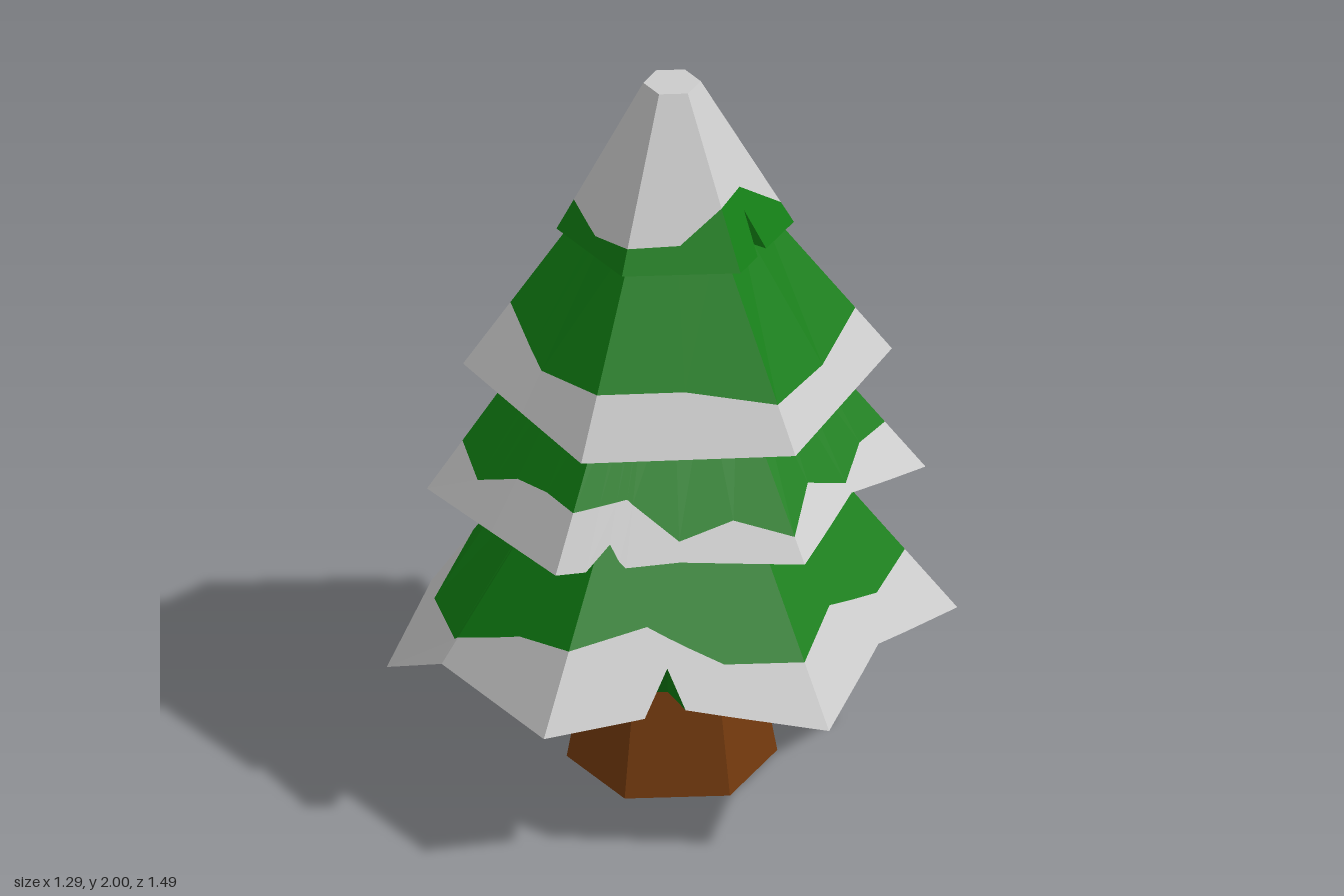
import * as THREE from 'three';

const mat = (color) => new THREE.MeshStandardMaterial({ color, flatShading: true, side: THREE.DoubleSide });
const GREEN = mat(0x107d12), SNOW = mat(0xcccccc), BARK = mat(0x743a0e);
const NOTCH_WIDTH = 0.08, DROOP_AT = 4, DROOP_WIDTH = 0.35;

// Each tier is a six-sided skirt; side position u runs 0..6 from the front corner towards +x.
// rim and top are [radius, height]; tilt is the rim's slope along x and z, shift its offset in x and z;
// droop lowers the back corner on the -x side; arches lift the middle of each side's rim;
// notches are cuts in the rim as [u, depth]; snow holds evenly spaced heights of the
// zigzag snow line. Depths and heights are fractions of the skirt.
const TIERS = [
  {
    name: 'bottomTier', rim: [0.745, 0.41], top: [0.33, 0.95], droop: 0.13,
    arches: [0.12, 0.08, 0.08, 0, 0, 0.1], notches: [[1.42, 0.2], [1.83, 0.35], [5.43, 0.27]],
    snow: [0.28, 0.38, 0.28, 0.33, 0.33, 0.24, 0.28, 0.07, 0.28, 0.22, 0.24, 0.31, 0.3, 0.12, 0.28, 0.35, 0.44, 0.28],
  },
  {
    name: 'lowerMiddleTier', rim: [0.65, 0.83], top: [0.33, 1.27], tilt: [0, 0.075], shift: [0, 0.02], turn: -0.04,
    arches: [0.14, 0, 0.05, 0, 0, 0.04], notches: [[2.2, 0.22], [5.2, 0.15]],
    snow: [0.15, 0.33, 0.2, 0.32, 0.32, 0.18, 0.4, 0.28, 0.48, 0.28, 0.4, 0.22, 0.38, 0.26, 0.24, 0.36, 0.3, 0.18, 0.3, 0.33, 0.32, 0.38, 0.15, 0.25],
  },
  {
    name: 'upperMiddleTier', rim: [0.56, 1.17], top: [0.22, 1.65], tilt: [0.05, -0.07], shift: [0.025, -0.012],
    arches: [0, 0.13], notches: [[2.06, 0.35]],
    snow: [0.23, 0.2, 0.27, 0.38, 0.2, 0.3, 0.36, 0.38, 0.38, 0.22, 0.3, 0.3],
  },
  {
    name: 'topTier', rim: [0.31, 1.57], top: [0.075, 2], shift: [0.01, 0], notches: [[0.4, 0.26]], snowAbove: true,
    snow: [0.36, 0.38, 0.14, 0.14, 0.26, 0.25, 0.35, 0.15, 0.2, 0.1, 0.15, 0.16],
  },
];

const hexRing = (r, y, turn = 0) => Array.from({ length: 6 }, (_, i) => {
  const a = i * Math.PI / 3 + turn;
  return new THREE.Vector3(r * Math.sin(a), y, r * Math.cos(a));
});

// Point on a six-sided ring, straight between its corners
function ringAt(corners, u) {
  const i = Math.floor(u);
  return corners[i % 6].clone().lerp(corners[(i + 1) % 6], u - i);
}

// Snow line height: straight between evenly spaced values
function snowAt(snow, u) {
  const s = u * snow.length / 6, i = Math.floor(s);
  return THREE.MathUtils.lerp(snow[i % snow.length], snow[(i + 1) % snow.length], s - i);
}

// Rim height: an arch along each side, plus sharp notches
function rimAt(arches, notches, u) {
  const side = Math.floor(u), f = u - side;
  const arch = (arches[side] ?? 0) * 2 * Math.min(f, 1 - f);
  return Math.max(arch, ...notches.map(([n, depth]) => depth * (1 - Math.abs(u - n) / NOTCH_WIDTH)));
}

// Closed strip of quads between a lower and an upper loop
function band(name, lower, upper, material) {
  const pos = [];
  lower.forEach((a, i) => {
    const j = (i + 1) % lower.length;
    for (const p of [a, lower[j], upper[j], a, upper[j], upper[i]]) pos.push(p.x, p.y, p.z);
  });
  const g = new THREE.BufferGeometry();
  g.setAttribute('position', new THREE.Float32BufferAttribute(pos, 3));
  g.computeVertexNormals();
  const mesh = new THREE.Mesh(g, material);
  mesh.name = name;
  return mesh;
}

function makeTier({ name, rim: [r, y], top, tilt = [0, 0], shift = [0, 0], turn = 0, droop = 0, arches = [], notches, snow, snowAbove }) {
  const group = new THREE.Group();
  group.name = name;
  const tilted = (radius, height) => hexRing(radius, height, turn).map((p) =>
    new THREE.Vector3(p.x + shift[0], p.y + tilt[0] * p.x + tilt[1] * p.z, p.z + shift[1]));
  const base = tilted(r, y), crown = hexRing(...top, turn);

  // Columns at the corners, side middles, snow points, notches and drooping corner
  const columns = new Set(Array.from({ length: 12 }, (_, i) => i / 2));
  snow.forEach((_, i) => columns.add(i * 6 / snow.length));
  for (const [n] of notches) for (const k of [-1, 0, 1]) columns.add(n + k * NOTCH_WIDTH);
  for (const k of [-1, 1]) columns.add(DROOP_AT + k * DROOP_WIDTH);
  const us = [...columns].sort((a, b) => a - b);

  const at = (u, t) => {
    const p = ringAt(base, u);
    p.y -= droop * Math.max(0, 1 - Math.abs(u - DROOP_AT) / DROOP_WIDTH);
    return p.lerp(ringAt(crown, u), t);
  };
  const rimLoop = us.map((u) => at(u, rimAt(arches, notches, u)));
  const snowLoop = us.map((u) => at(u, Math.max(snowAt(snow, u), rimAt(arches, notches, u) + 0.03)));
  const topLoop = us.map((u) => at(u, 1));
  group.add(
    band('lowerBand', rimLoop, snowLoop, snowAbove ? GREEN : SNOW),
    band('upperBand', snowLoop, topLoop, snowAbove ? SNOW : GREEN),
  );

  // Hollow underside: a lip, a steep inner wall and a ceiling
  const lip = tilted(0.76 * r, y + 0.06 * r), wall = tilted(0.55 * r, y + 0.28 * r), ceiling = tilted(0.18 * r, y + 0.32 * r);
  group.add(
    band('lip', us.map((u) => ringAt(lip, u)), rimLoop, GREEN),
    band('innerWall', wall, lip, GREEN),
    band('ceiling', ceiling, wall, GREEN),
  );
  // Flat snowy tip
  if (snowAbove) group.add(band('tip', crown, crown.map(() => new THREE.Vector3(0, top[1], 0)), SNOW));
  return group;
}

export function createModel() {
  const tree = new THREE.Group();
  tree.name = 'snowyTree';
  const trunk = new THREE.Mesh(new THREE.CylinderGeometry(0.16, 0.275, 0.65, 6), BARK);
  trunk.name = 'trunk';
  trunk.position.y = 0.325;
  tree.add(trunk, ...TIERS.map(makeTier));
  return tree;
}
